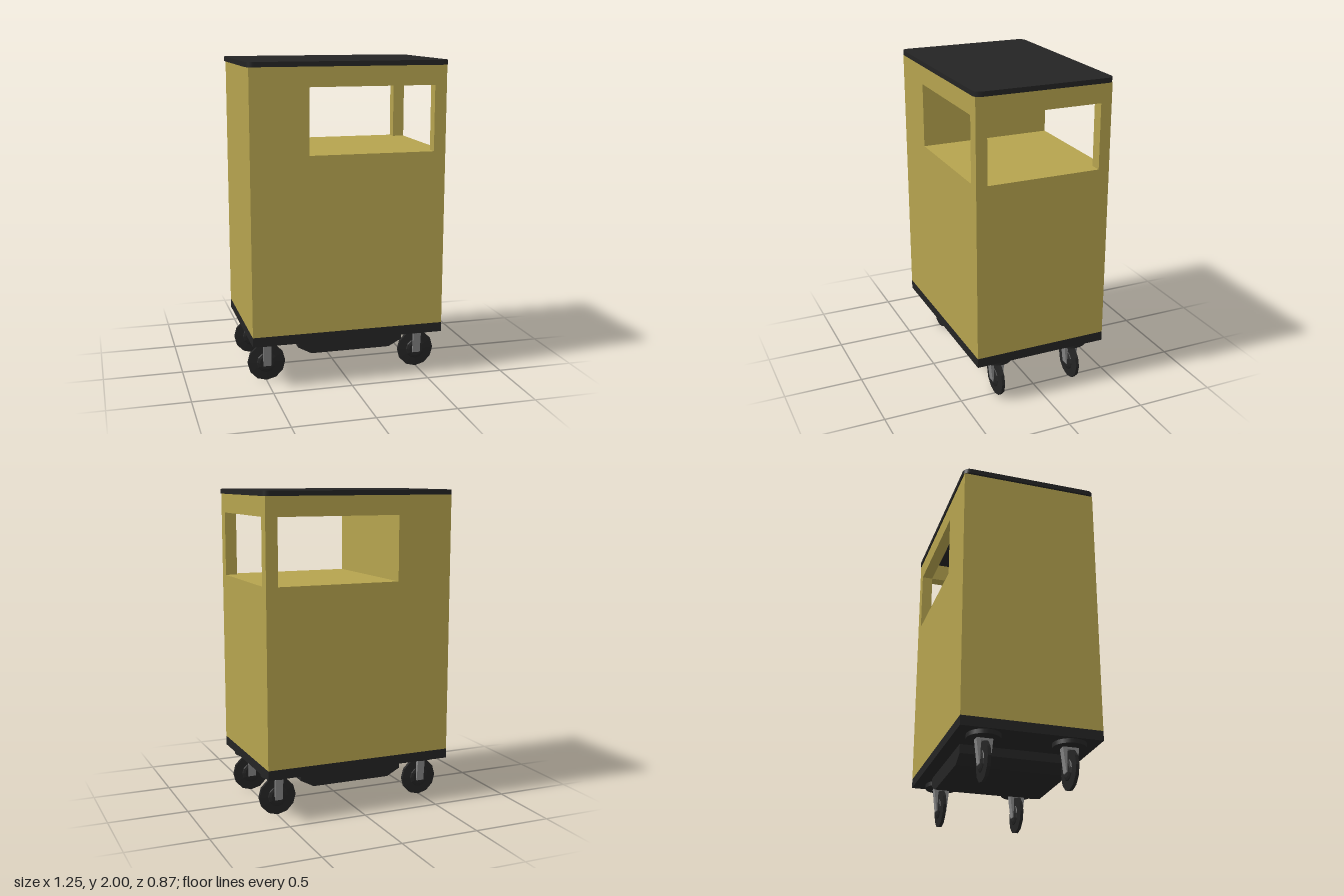
import * as THREE from 'three';

const paint = (name, color) => {
  const m = new THREE.MeshStandardMaterial({ color });
  m.name = name;
  return m;
};

export function createModel() {
  const yellow = paint('ochre panel', 0xb5a34e);
  const black = paint('black plastic', 0x242424);
  const steel = paint('grey steel', 0x858585);

  const root = new THREE.Group();
  root.name = 'rollingCabinet';

  const add = (parent, name, geometry, material, x = 0, y = 0, z = 0) => {
    const mesh = new THREE.Mesh(geometry, material);
    mesh.name = name;
    mesh.position.set(x, y, z);
    parent.add(mesh);
    return mesh;
  };

  // Box given by its lower and upper corners
  const block = (parent, name, material, [x0, y0, z0], [x1, y1, z1]) =>
    add(parent, name, new THREE.BoxGeometry(x1 - x0, y1 - y0, z1 - z0), material,
      (x0 + x1) / 2, (y0 + y1) / 2, (z0 + z1) / 2);

  // Outline in the xy plane extruded along z, centred on z = 0
  const slab = (points, depth) => {
    const shape = new THREE.Shape(points.map(([x, y]) => new THREE.Vector2(x, y)));
    return new THREE.ExtrudeGeometry(shape, { depth, bevelEnabled: false }).translate(0, 0, -depth / 2);
  };

  // Cabinet body with a compartment open on three sides
  const X = 0.61, Z = 0.43, inX = 0.535, inZ = 0.36, wallX = -0.25;
  const floorY = 1.445, headY = 1.85, topY = 1.97;
  const body = new THREE.Group();
  body.name = 'cabinetBody';
  root.add(body);
  block(body, 'lowerCabinet', yellow, [-X, 0.34, -Z], [X, floorY, Z]);
  block(body, 'upperCabinet', yellow, [-X, floorY, -Z], [wallX, topY, Z]);
  for (const s of [-1, 1]) {
    const z0 = s > 0 ? inZ : -Z, z1 = s > 0 ? Z : -inZ;
    block(body, 'cornerPost', yellow, [inX, floorY, z0], [X, headY, z1]);
    block(body, 'longHeader', yellow, [wallX, headY, z0], [X, topY, z1]);
  }
  block(body, 'sideHeader', yellow, [inX, headY, -inZ], [X, topY, inZ]);

  // Lid with rounded corners
  const lx = 0.625, lz = 0.437, r = 0.045;
  const lid = new THREE.Shape();
  lid.absarc(lx - r, lz - r, r, 0, Math.PI / 2);
  lid.absarc(-lx + r, lz - r, r, Math.PI / 2, Math.PI);
  lid.absarc(-lx + r, -lz + r, r, Math.PI, Math.PI * 1.5);
  lid.absarc(lx - r, -lz + r, r, Math.PI * 1.5, Math.PI * 2);
  const lidGeometry = new THREE.ExtrudeGeometry(lid, { depth: 0.03, bevelEnabled: false, curveSegments: 6 });
  add(root, 'lid', lidGeometry.rotateX(-Math.PI / 2), black, 0, topY, 0);

  // Base plate and the chamfered tray below it
  block(root, 'basePlate', black, [-X, 0.28, -Z], [X, 0.34, Z]);
  add(root, 'underTray', slab([
    [-0.31, 0.28], [-0.31, 0.225], [-0.225, 0.18], [0.285, 0.18], [0.37, 0.225], [0.37, 0.28],
  ], 0.7), black);

  // Wheel profile: thin tread, thicker web and hub
  const wheelProfile = [
    [0, -0.025], [0.045, -0.025], [0.06, -0.019], [0.065, -0.015], [0.12, -0.01],
    [0.12, 0.01], [0.065, 0.015], [0.06, 0.019], [0.045, 0.025], [0, 0.025],
  ].map(([a, b]) => new THREE.Vector2(a, b));
  const wheelGeometry = new THREE.LatheGeometry(wheelProfile, 12)
    .rotateX(Math.PI / 2).toNonIndexed();
  wheelGeometry.computeVertexNormals();

  // Tapered fork arm, drawn in profile across the wheel
  const armGeometry = slab([
    [0.022, 0.25], [0.027, 0.1], [0.033, 0.1], [0.05, 0.25],
  ], 0.05).rotateY(-Math.PI / 2);

  // Four casters
  for (const x of [-0.497, 0.495]) {
    for (const z of [-0.26, 0.26]) {
      const caster = new THREE.Group();
      caster.name = 'caster';
      caster.position.set(x, 0, z);
      root.add(caster);
      add(caster, 'mountingDisc', new THREE.CylinderGeometry(0.102, 0.102, 0.028, 24), black, 0, 0.267, 0);
      add(caster, 'forkCrown', new THREE.BoxGeometry(0.05, 0.014, 0.098), steel, 0, 0.247, 0);
      add(caster, 'wheel', wheelGeometry, black, 0, 0.12, 0);
      add(caster, 'forkArm', armGeometry, steel);
      add(caster, 'forkArm', armGeometry, steel).rotation.y = Math.PI;
    }
  }
  return root;
}
